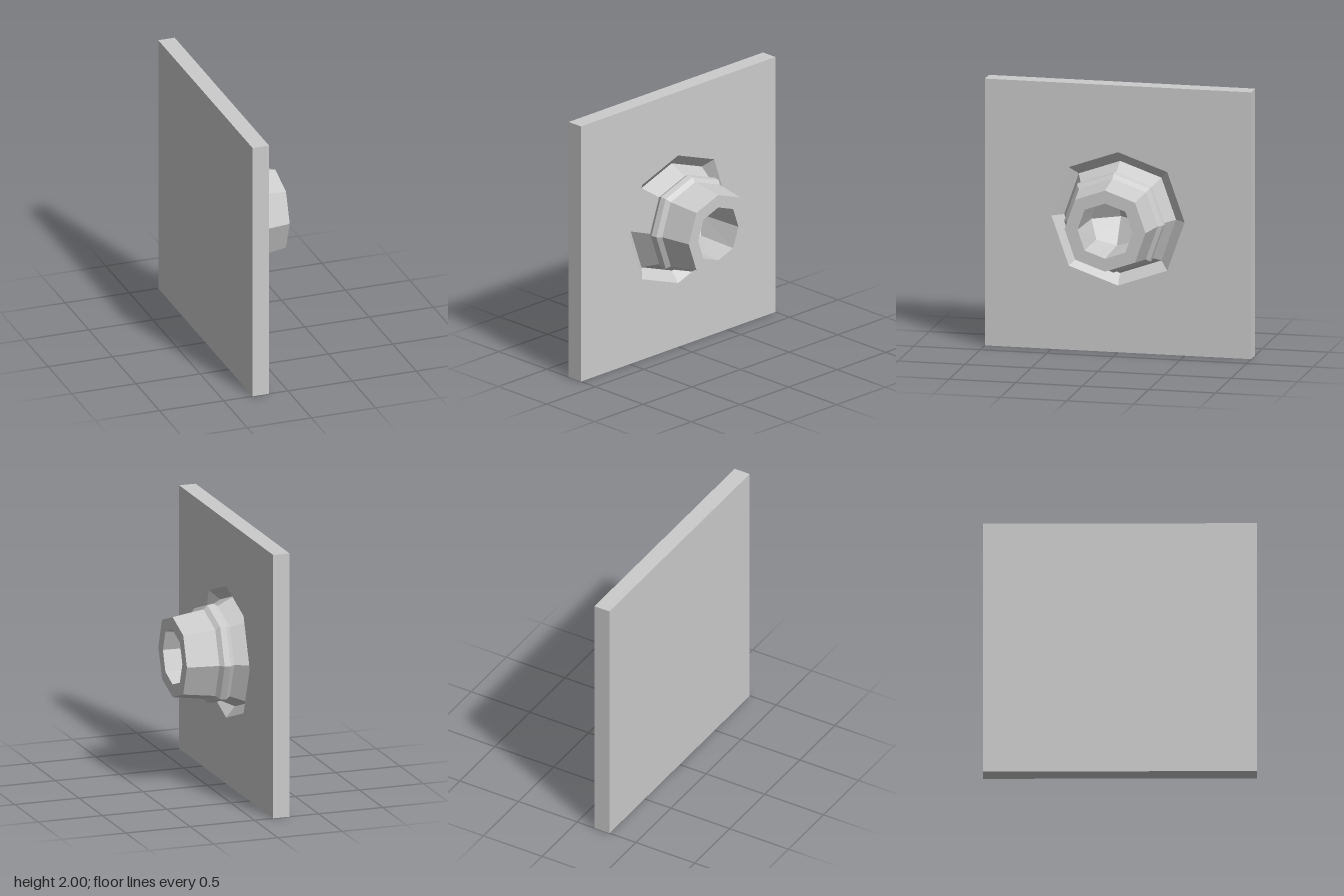
import * as THREE from 'three';

const SIDES = 8;
const BACK = -0.275, FACE = -0.147;

// One corner of an octagonal ring; diagonal corners sit slightly further out.
function corner([x, r, diagonalX = x], j) {
  const a = (j % SIDES) * Math.PI * 2 / SIDES;
  const diagonal = j % 2 === 1;
  const k = r * (diagonal ? 1.045 : 1);
  return [diagonal ? diagonalX : x, k * Math.cos(a), k * Math.sin(a)];
}

// Flat-faced skin through a list of rings [x, radius, x of diagonal corners].
function loft(rings) {
  const pos = [];
  for (let i = 0; i < rings.length - 1; i++) {
    for (let j = 0; j < SIDES; j++) {
      const a = corner(rings[i], j), b = corner(rings[i], j + 1);
      const c = corner(rings[i + 1], j + 1), d = corner(rings[i + 1], j);
      pos.push(...a, ...b, ...c);
      if (rings[i + 1][1] > 0) pos.push(...a, ...c, ...d);
    }
  }
  const g = new THREE.BufferGeometry();
  g.setAttribute('position', new THREE.Float32BufferAttribute(pos, 3));
  g.computeVertexNormals();
  return g;
}

export function createModel() {
  const group = new THREE.Group();
  const grey = new THREE.MeshStandardMaterial({ color: 0xcccccc, flatShading: true });
  grey.name = 'light grey';

  const add = (name, geometry) => {
    const mesh = new THREE.Mesh(geometry, grey);
    mesh.name = name;
    mesh.position.y = 1;
    group.add(mesh);
  };

  // Plate body: a box without its +x side
  const body = new THREE.BoxGeometry(FACE - BACK, 2, 2);
  body.setIndex(Array.from(body.index.array).slice(6));
  body.clearGroups();
  body.translate((FACE + BACK) / 2, 0, 0);
  add('plateBody', body);

  // Plate face with the octagonal opening
  const square = new THREE.Shape([[-1, -1], [1, -1], [1, 1], [-1, 1]].map(p => new THREE.Vector2(...p)));
  const hole = [];
  for (let j = 0; j < SIDES; j++) {
    const [, y, z] = corner([FACE, 0.5], j);
    hole.push(new THREE.Vector2(z, y));
  }
  square.holes.push(new THREE.Path(hole));
  const face = new THREE.ShapeGeometry(square);
  face.rotateY(Math.PI / 2);
  face.translate(FACE, 0, 0);
  add('plateFace', face);

  // Sloping recess around the nozzle
  add('recess', loft([[FACE, 0.5], [-0.215, 0.42]]));

  // Nozzle with raised collar and flat rim
  add('nozzle', loft([
    [-0.215, 0.42], [-0.08, 0.355], [-0.045, 0.376], [0, 0.37],
    [0.03, 0.34], [0.27, 0.304], [0.27, 0.207],
  ]));

  // Bore ending in a four-sided hollow point
  add('bore', loft([[0.27, 0.207], [-0.11, 0.19, -0.05], [-0.24, 0]]));

  return group;
}
